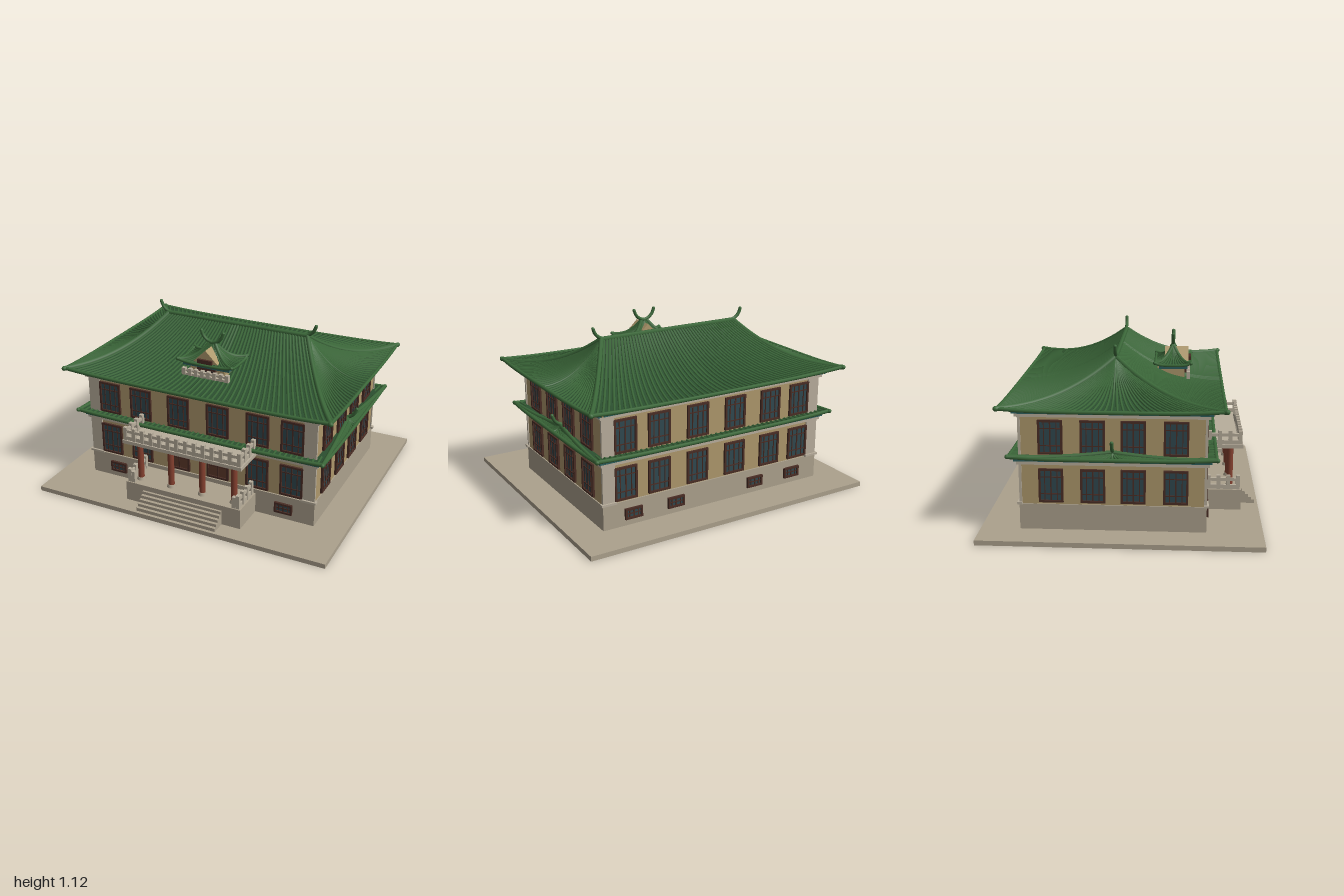
import * as THREE from 'three';
import { mergeGeometries } from 'three/addons/utils/BufferGeometryUtils.js';
import { ParametricGeometry } from 'three/addons/geometries/ParametricGeometry.js';

const paint = (name, color, side = THREE.FrontSide) => {
  const m = new THREE.MeshStandardMaterial({ color, side });
  m.name = name;
  return m;
};
const V = (x, y, z) => new THREE.Vector3(x, y, z);
const CZ = -0.05; // centre of the building in z

export function createModel() {
  const model = new THREE.Group();
  model.name = 'hallWithHippedRoofs';
  const stone = paint('stone', 0xaca18d);
  const paleStone = paint('paleStone', 0xb8ae9c);
  const wall = paint('tanWall', 0xae986c);
  const tile = paint('darkGreenTile', 0x2c5030, THREE.DoubleSide);
  const ribMat = paint('greenRib', 0x3c693a, THREE.DoubleSide);
  const teal = paint('tealBeam', 0x2d5f5d);
  const glass = paint('glass', 0x30484f);
  const frame = paint('brownFrame', 0x4a2d25);
  const doorMat = paint('doorWood', 0x5e3b2a);
  const red = paint('redColumn', 0x84402f);

  const add = (parent, name, geo, mat) => {
    const m = new THREE.Mesh(geo, mat);
    m.name = name;
    parent.add(m);
    return m;
  };
  // Box from min and max corners
  const boxGeo = (x0, x1, y0, y1, z0, z1) =>
    new THREE.BoxGeometry(x1 - x0, y1 - y0, z1 - z0).translate((x0 + x1) / 2, (y0 + y1) / 2, (z0 + z1) / 2);
  const box = (name, mat, ...b) => add(model, name, boxGeo(...b), mat);
  const ring = (name, mat, hx, hz, y0, y1) => box(name, mat, -hx, hx, y0, y1, CZ - hz, CZ + hz);

  // Ground slab, plinth, storeys and bands
  box('groundSlab', stone, -1, 1, 0, 0.03, -0.85, 0.85);
  ring('plinth', stone, 0.797, 0.56, 0.03, 0.19);
  ring('walls', wall, 0.79, 0.55, 0.19, 0.75);
  ring('lowerCornice', paleStone, 0.81, 0.572, 0.44, 0.463);
  ring('lowerBeam', teal, 0.822, 0.585, 0.463, 0.487);
  ring('upperCornice', paleStone, 0.812, 0.575, 0.733, 0.755);
  ring('upperBeam', teal, 0.826, 0.59, 0.755, 0.788);
  for (const sx of [-1, 1]) for (const sz of [-1, 1]) {
    const block = (name, w, d, out, y0, y1) => {
      const m = add(model, name, new THREE.BoxGeometry(w, y1 - y0, d), paleStone);
      m.position.set(sx * (0.797 + out - w / 2), (y0 + y1) / 2, CZ + sz * (0.56 + out - d / 2));
    };
    block('cornerPilaster', 0.083, 0.016, 0, 0.19, 0.74);
    block('pilasterBase', 0.1, 0.03, 0.012, 0.188, 0.202);
  }
  // Small bracket ends along the upper beam
  for (let i = -6; i <= 6; i++) for (const sz of [-1, 1]) {
    const x = i * 0.134, z = CZ + sz * 0.59;
    if (Math.abs(x) > 0.82) continue;
    box('bracketEnd', wall, x - 0.01, x + 0.01, 0.767, 0.78, z - 0.008, z + 0.008);
    box('bracketStem', wall, x - 0.004, x + 0.004, 0.757, 0.767, z - 0.006, z + 0.006);
  }

  // Window or door, facing +z, standing on its origin
  function opening(w, h, cols, rows, door) {
    const g = new THREE.Group();
    g.name = door ? 'door' : 'window';
    const bars = [], t = 0.013, a = w / 2;
    bars.push(boxGeo(-a, -a + t, 0, h, -0.01, 0.014), boxGeo(a - t, a, 0, h, -0.01, 0.014));
    bars.push(boxGeo(-a, a, 0, t, -0.01, 0.014), boxGeo(-a, a, h - t, h, -0.01, 0.014));
    const low = door ? h * 0.4 : 0;
    for (let i = 1; i < cols; i++) {
      const x = -a + (w * i) / cols, b = i * 2 === cols ? 0.004 : 0.0025;
      bars.push(boxGeo(x - b, x + b, i * 2 === cols ? 0 : low, h, 0, 0.009));
    }
    for (const r of rows) bars.push(boxGeo(-a, a, r * h - 0.003, r * h + 0.003, 0, 0.009));
    add(g, 'frame', mergeGeometries(bars), frame);
    add(g, 'pane', boxGeo(-a + 0.005, a - 0.005, 0.005, h - 0.005, -0.004, 0.004), door ? doorMat : glass);
    return g;
  }
  const place = (g, x, y, z, ry) => {
    g.position.set(x, y, z);
    g.rotation.y = ry;
    model.add(g);
  };
  const rows = [0.25, 0.75];
  for (const y of [0.2, 0.5]) {
    for (const x of [-0.64, -0.41, -0.138, 0.138, 0.41, 0.64]) {
      const isDoor = y < 0.3 && Math.abs(x) < 0.2;
      place(opening(0.152, 0.212, 4, isDoor ? [0.4, 0.6, 0.8] : rows, isDoor), x, y, 0.5, 0);
      place(opening(0.152, 0.212, 4, rows), x, y, -0.6, Math.PI);
    }
    for (const z of [0.325, 0.073, -0.168, -0.418]) for (const s of [-1, 1])
      place(opening(0.148, 0.21, 4, rows), s * 0.79, y + 0.003, z, (s * Math.PI) / 2);
  }
  for (const x of [-0.595, 0.595]) {
    place(opening(0.118, 0.07, 4, [0.5]), x, 0.072, 0.512, 0);
    for (const k of [1, 0.5]) place(opening(0.118, 0.07, 4, [0.5]), x * k, 0.072, -0.612, Math.PI);
  }

  // Concave hipped roof: tiled slopes, ribs, hips, eaves, ridge and horns
  function roof(name, o) {
    const g = new THREE.Group();
    g.name = name;
    const point = (side, s, u, t) => {
      const k = 1 - t, X = o.rl + (o.ex - o.rl) * k, Z = o.ez * k;
      const y = o.y + o.h * Math.pow(Math.max(t, 0), 2.2) + o.lift * u ** 4 * k * k;
      return side ? V(s * X, y, u * Z) : V(u * X, y, s * Z);
    };
    const tube = (pts, n, r, sides = 6) => new THREE.TubeGeometry(new THREE.CatmullRomCurve3(pts), n, r, sides);
    const steps = (n, f) => Array.from({ length: n + 1 }, (_, i) => f(i / n));
    const ribs = [], trims = [];
    for (const side of [0, 1]) for (const s of [-1, 1]) {
      const geo = new ParametricGeometry((u, t, p) => p.copy(point(side, s, u * 2 - 1, t)), 24, 16);
      geo.computeVertexNormals();
      add(g, 'tiledSlope', geo, tile);
      const n = o.ribs[side], end = side ? 0.985 : o.reach;
      for (let i = 1; i < n; i++)
        ribs.push(tube(steps(7, q => point(side, s, (2 * i) / n - 1, q * end)), 8, o.r, 5));
      trims.push(tube(steps(12, q => point(side, s, q * 2 - 1, 0)), 20, o.r * 1.5));
      trims.push(tube(steps(8, q => point(0, s, side ? 1 : -1, q * 1.01 - 0.01)), 14, o.hip));
      const tip = point(0, s, side ? 1 : -1, -0.01);
      trims.push(new THREE.SphereGeometry(o.hip, 8, 6).translate(tip.x, tip.y, tip.z));
    }
    // Ridge with an upturned horn at each end
    const top = o.y + o.h;
    trims.push(tube([V(-o.rl, top, 0), V(o.rl, top, 0)], 1, o.hip));
    for (const s of [-1, 1]) {
      const horn = [[-0.03, 0], [0.015, 0.014], [0.042, 0.04], [0.056, 0.073]];
      trims.push(tube(horn.map(([x, y]) => V(s * (o.rl + x), top + y, 0)), 10, 0.011, 8));
      trims.push(new THREE.SphereGeometry(0.011, 8, 6).translate(s * (o.rl + 0.056), top + 0.073, 0));
    }
    add(g, 'tileRibs', mergeGeometries(ribs), ribMat);
    add(g, 'ridgesAndEaves', mergeGeometries(trims), ribMat);
    g.position.z = o.z;
    model.add(g);
  }
  roof('mainRoof', { ex: 0.905, ez: 0.655, rl: 0.5, y: 0.79, h: 0.245, lift: 0.015, ribs: [50, 34], reach: 1, r: 0.008, hip: 0.016, z: CZ });
  roof('lowerRoof', { ex: 0.855, ez: 0.61, rl: 0.797, y: 0.488, h: 0.034, lift: 0.012, ribs: [48, 34], reach: 0.16, r: 0.008, hip: 0.014, z: CZ });

  // Dormer on the front slope
  box('dormerWall', wall, -0.12, 0.12, 0.8, 0.9, 0.19, 0.365);
  box('dormerBeam', teal, -0.16, 0.16, 0.888, 0.912, 0.2, 0.385);
  place(opening(0.125, 0.045, 4, [0.5]), 0, 0.845, 0.368, 0);
  roof('dormerRoof', { ex: 0.185, ez: 0.115, rl: 0.02, y: 0.915, h: 0.11, lift: 0.015, ribs: [14, 10], reach: 1, r: 0.006, hip: 0.011, z: 0.29 });
  const tri = new THREE.Shape([new THREE.Vector2(-0.085, 0.925), new THREE.Vector2(0.085, 0.925), new THREE.Vector2(0, 1.008)]);
  add(model, 'dormerGable', new THREE.ExtrudeGeometry(tri, { depth: 0.155, bevelEnabled: false }).translate(0, 0, 0.235), wall);
  place(opening(0.1, 0.026, 2, []), 0, 0.924, 0.392, 0);

  // Balustrade between two points: posts with a lower and an upper rail
  function balustrade(name, x0, z0, x1, z1, y, h, n) {
    const g = new THREE.Group(), len = Math.hypot(x1 - x0, z1 - z0), parts = [];
    g.name = name;
    for (let i = 0; i <= n; i++) {
      const x = (len * i) / n;
      parts.push(boxGeo(x - 0.012, x + 0.012, 0, h, -0.012, 0.012));
    }
    parts.push(boxGeo(0, len, 0, h * 0.3, -0.008, 0.008), boxGeo(0, len, h * 0.58, h * 0.8, -0.008, 0.008));
    add(g, 'postsAndRails', mergeGeometries(parts), paleStone);
    place(g, x0, y, z0, -Math.atan2(z1 - z0, x1 - x0));
  }
  balustrade('dormerBalustrade', -0.15, 0.39, 0.15, 0.39, 0.825, 0.046, 7);

  // Porch: platform, steps, columns and balcony
  box('porchPlatform', stone, -0.403, 0.403, 0.03, 0.163, 0.5, 0.735);
  for (let i = 0; i < 5; i++)
    box('step', stone, -0.277, 0.277, 0.03, 0.052 + i * 0.019, 0.72, 0.83 - i * 0.02);
  for (const x of [-0.33, -0.11, 0.11, 0.33]) {
    add(model, 'column', new THREE.CylinderGeometry(0.02, 0.02, 0.28, 16).translate(x, 0.303, 0.663), red);
    add(model, 'columnBase', new THREE.CylinderGeometry(0.024, 0.03, 0.018, 16).translate(x, 0.172, 0.663), stone);
  }
  box('balconySlab', paleStone, -0.412, 0.412, 0.44, 0.463, 0.5, 0.74);
  balustrade('balconyFront', -0.393, 0.722, 0.393, 0.722, 0.463, 0.087, 13);
  for (const s of [-1, 1]) {
    balustrade('balconySide', s * 0.393, 0.53, s * 0.393, 0.722, 0.463, 0.087, 3);
    balustrade('porchSide', s * 0.38, 0.53, s * 0.38, 0.715, 0.163, 0.09, 3);
    balustrade('porchReturn', s * 0.355, 0.715, s * 0.38, 0.715, 0.163, 0.075, 1);
  }
  return model;
}
